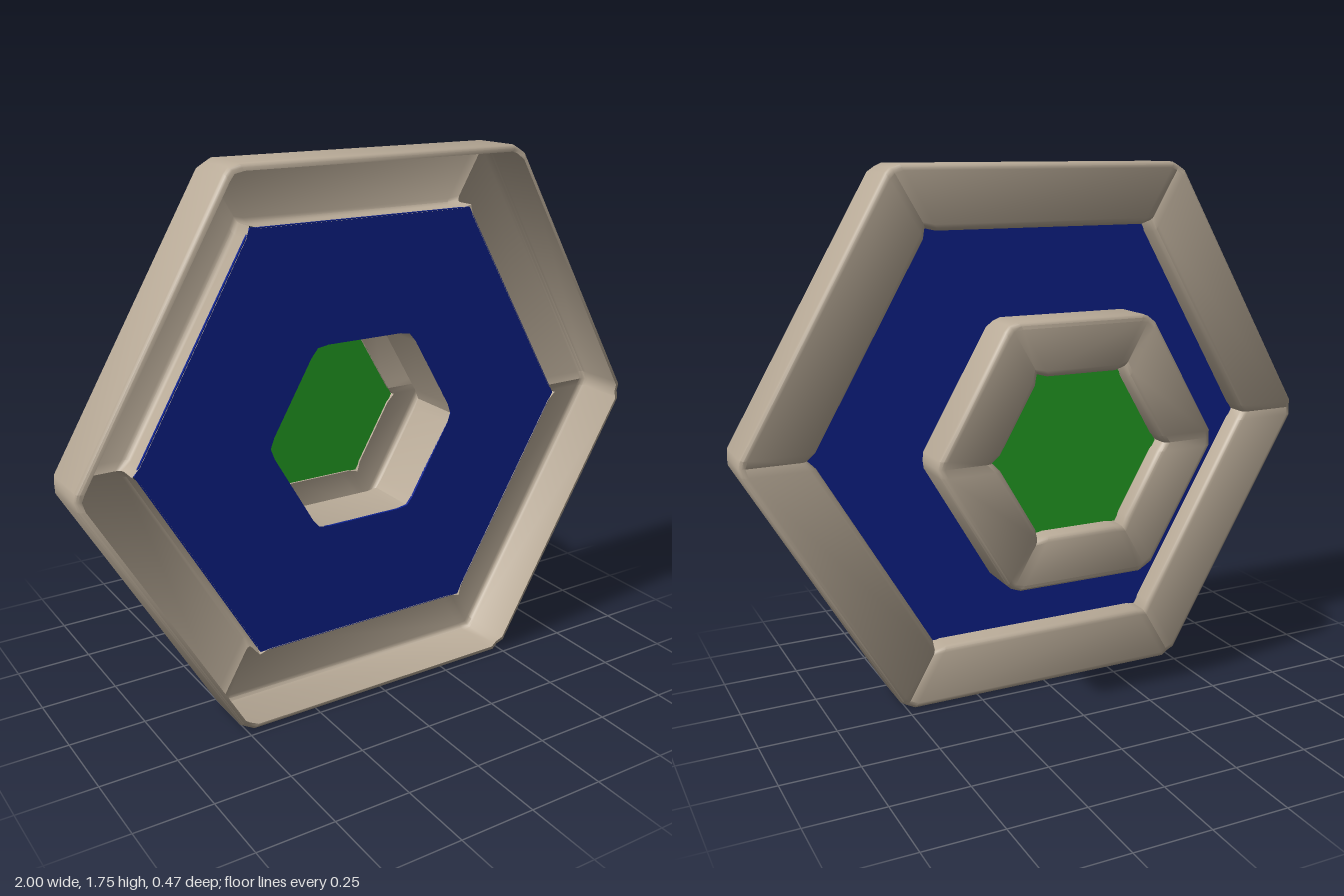
import * as THREE from 'three';
import { toCreasedNormals } from 'three/addons/utils/BufferGeometryUtils.js';

const CENTRE_Y = 0.875;
const material = (name, color) =>
  new THREE.MeshStandardMaterial({ name, color, side: THREE.DoubleSide });

// Three stations per hexagon corner: just before, on, and just after the mitre
const stations = [];
for (let k = 0; k < 6; k++) for (const s of [-1, 0, 1]) stations.push({ k, s });

function hexPoint(apothem, { k, s }, width) {
  const corner = k * Math.PI / 3;
  const radius = apothem / Math.cos(Math.PI / 6);
  const along = corner + s * Math.PI * 2 / 3;   // direction of the adjoining side
  const w = s === 0 ? 0 : width;
  return new THREE.Vector2(
    radius * Math.cos(corner) + w * Math.cos(along),
    radius * Math.sin(corner) + w * Math.sin(along)
  );
}

// Sweeps a profile of [apothem, z] round a hexagon; the mitres shrink towards the
// middle of the section to leave a shallow groove
function hexSweep(profile, middle, dent, width) {
  const positions = [], index = [], n = profile.length;
  for (const st of stations) {
    for (const [r, z] of profile) {
      const d = st.s === 0 ? dent : 0;
      const p = hexPoint(r + (middle[0] - r) * d, st, width);
      positions.push(p.x, p.y, z + (middle[1] - z) * d);
    }
  }
  for (let i = 0; i < stations.length; i++) {
    const a = i * n, b = ((i + 1) % stations.length) * n;
    for (let j = 0; j < n - 1; j++) {
      index.push(a + j, a + j + 1, b + j, b + j, a + j + 1, b + j + 1);
    }
  }
  const geometry = new THREE.BufferGeometry();
  geometry.setAttribute('position', new THREE.Float32BufferAttribute(positions, 3));
  geometry.setIndex(index);
  return toCreasedNormals(geometry, 0.7);
}

// Open-fronted channel: outer wall, rounded back face, inner wall up to the panel
function channelProfile(outer, inner, front, back, panel, bevel) {
  const profile = [[outer - bevel, front]];
  const arc = (r, z, from, to) => {
    for (let i = 0; i <= 3; i++) {
      const t = from + (to - from) * i / 3;
      profile.push([r + bevel * Math.cos(t), z + bevel * Math.sin(t)]);
    }
  };
  arc(outer - bevel, front - bevel, Math.PI / 3, 0);
  arc(outer - bevel, back + bevel, 0, -Math.PI / 2);
  arc(inner + bevel, back + bevel, -Math.PI / 2, -Math.PI);
  profile.push([inner, panel]);
  return profile;
}

// Thin hexagonal plate with an optional hexagonal opening
function hexPlate(apothem, z, hole) {
  const shape = new THREE.Shape(stations.filter(st => st.s === 0).map(st => hexPoint(apothem, st, 0)));
  if (hole) {
    shape.holes.push(new THREE.Path(
      stations.map(st => hexPoint(st.s === 0 ? hole * 0.98 : hole, st, 0.04))
    ));
  }
  const geometry = new THREE.ExtrudeGeometry(shape, { depth: 0.008, bevelEnabled: false });
  geometry.translate(0, 0, z);
  return geometry;
}

export function createModel() {
  const stone = material('beige casing', 0xb9ab98);
  const blue = material('deep blue panel', 0x0e2391);
  const green = material('green lens', 0x26a826);

  const model = new THREE.Group();
  const add = (name, geometry, mat) => {
    const mesh = new THREE.Mesh(geometry, mat);
    mesh.name = name;
    mesh.position.y = CENTRE_Y;
    model.add(mesh);
  };

  // Large front frame and its blue panel
  add('outerFrame', hexSweep(channelProfile(0.875, 0.675, 0.232, 0.032, 0.118, 0.02),
    [0.775, 0.13], 0.1, 0.03), stone);
  add('bluePanel', hexPlate(0.678, 0.108, 0.3), blue);

  // Hollow neck joining the panel to the rear hub
  add('neck', hexSweep([[0.3, 0.116], [0.3, -0.072]], [0, 0.02], 0.02, 0.04), stone);

  // Rear hub: channel, its front shoulder and the green lens
  add('rearHub', hexSweep(channelProfile(0.42, 0.25, -0.07, -0.235, -0.16, 0.02),
    [0.335, -0.15], 0.1, 0.03), stone);
  add('hubShoulder', hexSweep([[0.3, -0.071], [0.402, -0.071]], [0.335, -0.071], 0.1, 0.03), stone);
  add('greenLens', hexPlate(0.253, -0.175), green);

  return model;
}
